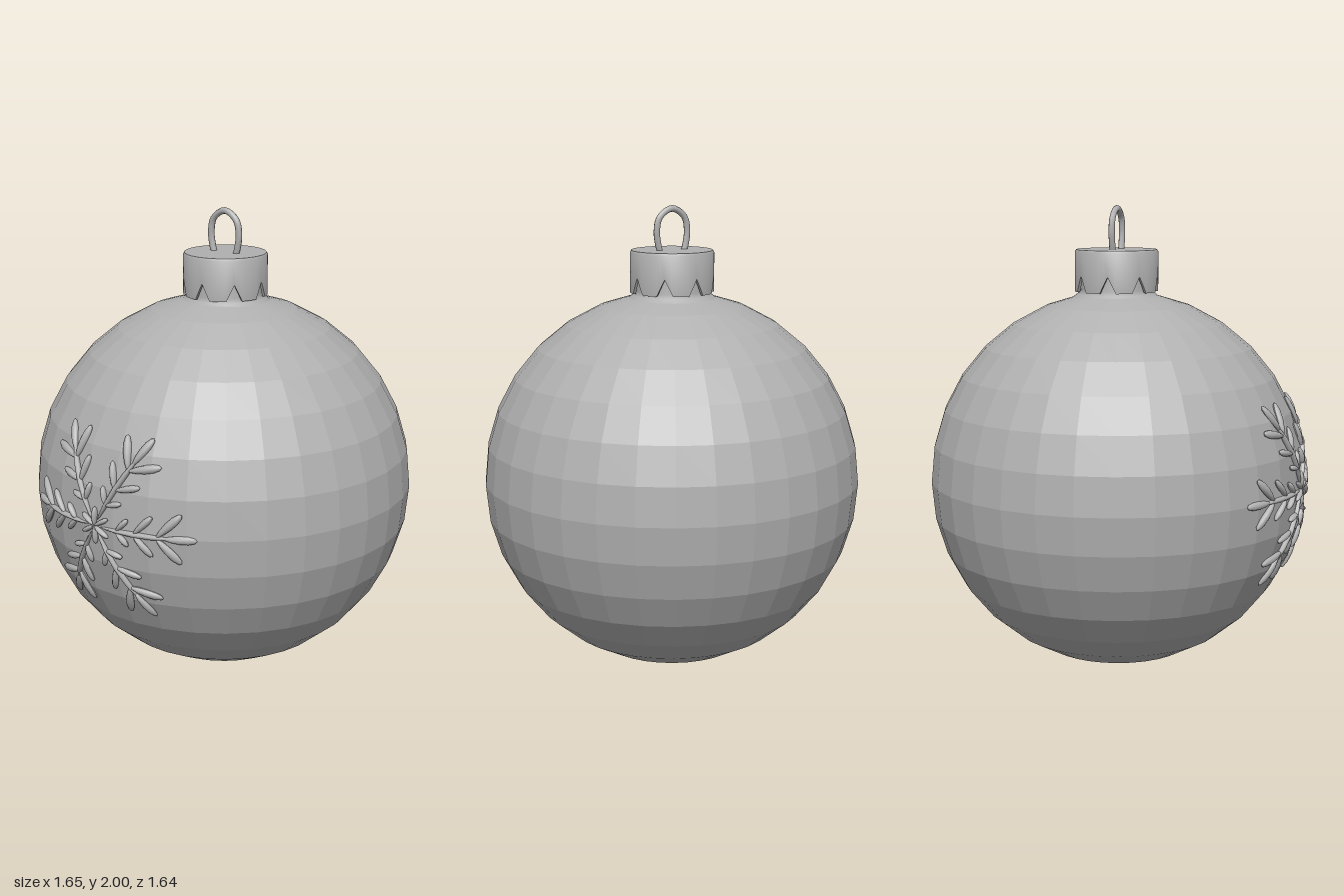
import * as THREE from 'three';
import { mergeGeometries, toCreasedNormals } from 'three/addons/utils/BufferGeometryUtils.js';

const R = 0.818;            // ball radius
const CENTRE_Y = 0.816;

// Wrap a point of a flat sheet (u, v, height) onto the ball's side
const PHI = THREE.MathUtils.degToRad(16);
const OUT = new THREE.Vector3(-Math.cos(PHI), 0, Math.sin(PHI));
const ACROSS = new THREE.Vector3(Math.sin(PHI), 0, Math.cos(PHI));
const UP = new THREE.Vector3(0, 1, 0);
function wrap(u, v, h) {
  const d = Math.hypot(u, v) || 1e-6;
  const s = Math.sin(d / R) / d;
  return new THREE.Vector3()
    .addScaledVector(OUT, Math.cos(d / R))
    .addScaledVector(ACROSS, u * s)
    .addScaledVector(UP, v * s)
    .multiplyScalar(R + h);
}

// Teardrop leaf lying on the ball, fatter towards its tip
function leaf(u, v, angle, length, width) {
  const g = new THREE.SphereGeometry(1, 10, 6);
  g.rotateZ(-Math.PI / 2);
  const p = g.attributes.position;
  const c = Math.cos(angle), s = Math.sin(angle);
  for (let i = 0; i < p.count; i++) {
    const t = (p.getX(i) + 1) / 2;
    const along = t * length;
    const side = p.getY(i) * width * (0.6 + 0.5 * t);
    const q = wrap(u + along * c - side * s, v + along * s + side * c, p.getZ(i) * 0.016);
    p.setXYZ(i, q.x, q.y, q.z);
  }
  g.computeVertexNormals();
  return g;
}

function snowflakeGeometry() {
  const parts = [];
  // distance along the arm, leaf length, half width
  const pairs = [[0.11, 0.08, 0.014], [0.19, 0.12, 0.017], [0.29, 0.15, 0.021]];
  for (let k = 0; k < 6; k++) {
    const a = k * Math.PI / 3;
    const at = (r) => [r * Math.cos(a), r * Math.sin(a)];
    parts.push(leaf(...at(0.03), a, 0.32, 0.013));
    parts.push(leaf(...at(0.32), a, 0.14, 0.021));
    for (const [r, length, width] of pairs) {
      for (const side of [-1, 1]) parts.push(leaf(...at(r), a + side * 0.8, length, width));
    }
    // small petal between the arms
    parts.push(leaf(0, 0, a + Math.PI / 6, 0.08, 0.012));
  }
  return mergeGeometries(parts);
}

// Cap shell whose lower rim is cut by eight pointed notches
function capGeometry() {
  const profile = [[0.165, 1.74], [0.168, 1.632], [0.18, 1.632], [0.18, 1.802], [0.174, 1.812], [0, 1.812]]
    .map(([x, y]) => new THREE.Vector2(x, y));
  const g = new THREE.LatheGeometry(profile, 64);
  const p = g.attributes.position;
  for (let i = 0; i < p.count; i++) {
    if (p.getY(i) > 1.65) continue;
    const turn = Math.atan2(p.getX(i), p.getZ(i)) / (Math.PI / 4) + 8;
    const fromNotch = Math.abs((turn % 1) - 0.5);
    p.setY(i, 1.632 + 0.07 * Math.max(0, 1 - fromNotch / 0.25));
  }
  return toCreasedNormals(g, 0.6);
}

export function createModel() {
  const model = new THREE.Group();
  model.name = 'bauble';
  const grey = new THREE.MeshStandardMaterial({ color: 0xb0b0b0 });
  grey.name = 'grey';
  const faceted = new THREE.MeshStandardMaterial({ color: 0xb0b0b0, flatShading: true });
  faceted.name = 'faceted grey';

  const add = (name, geometry, material = grey) => {
    const mesh = new THREE.Mesh(geometry, material);
    mesh.name = name;
    model.add(mesh);
    return mesh;
  };

  add('ball', new THREE.SphereGeometry(R, 32, 16), faceted).position.y = CENTRE_Y;
  add('snowflake', snowflakeGeometry()).position.y = CENTRE_Y;

  // Neck flaring into the ball
  const neck = [[0.2, 1.6], [0.17, 1.622], [0.155, 1.64], [0.155, 1.75]];
  add('neck', new THREE.LatheGeometry(neck.map(([x, y]) => new THREE.Vector2(x, y)), 32)).position.x = 0.008;

  add('cap', capGeometry()).position.x = 0.008;

  // Wire loop, turned slightly about the upright axis
  const half = [[0.055, 1.79], [0.068, 1.84], [0.074, 1.89], [0.06, 1.95]];
  const path = [...half.map(([z, y]) => new THREE.Vector3(0, y, -z)),
    new THREE.Vector3(0, 1.986, 0),
    ...half.slice().reverse().map(([z, y]) => new THREE.Vector3(0, y, z))];
  const loop = add('hangingLoop', new THREE.TubeGeometry(new THREE.CatmullRomCurve3(path), 32, 0.014, 8));
  loop.position.x = 0.006;
  loop.rotation.y = 0.3;

  return model;
}
